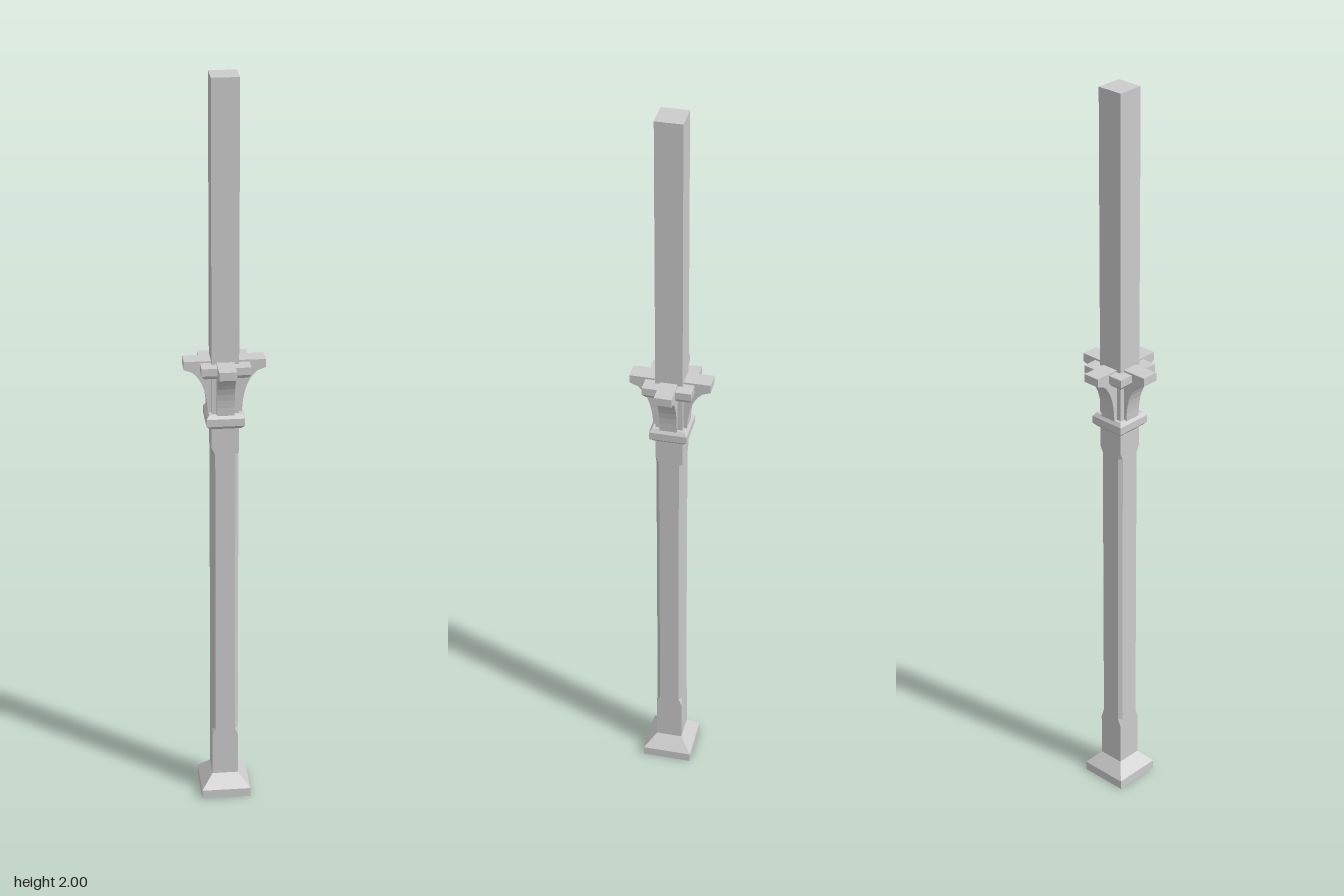
import * as THREE from 'three';

const material = new THREE.MeshStandardMaterial({ color: 0xcccccc, flatShading: true });

// Square section with cut corners, counter-clockwise seen from above
function ring([y, h, c = 0]) {
  const k = h - c;
  return [[h, k], [h, -k], [k, -h], [-k, -h], [-h, -k], [-h, k], [-k, h], [k, h]]
    .map(([x, z]) => new THREE.Vector3(x, y, z));
}

// Stack of square sections [height, half width, corner cut], capped at both ends
function squareLoft(name, sections) {
  const rings = sections.map(ring);
  const points = [];
  for (let i = 0; i < rings.length - 1; i++) {
    const a = rings[i], b = rings[i + 1];
    for (let j = 0; j < 8; j++) {
      const n = (j + 1) % 8;
      points.push(a[j], a[n], b[n], a[j], b[n], b[j]);
    }
  }
  const bottom = rings[0], top = rings[rings.length - 1];
  for (let j = 1; j < 7; j++) {
    points.push(top[0], top[j], top[j + 1], bottom[0], bottom[j + 1], bottom[j]);
  }
  const geometry = new THREE.BufferGeometry().setFromPoints(points);
  geometry.computeVertexNormals();
  const mesh = new THREE.Mesh(geometry, material);
  mesh.name = name;
  return mesh;
}

// Curved bracket: side profile extruded across its width, reaching out along +x
function bracketGeometry(width) {
  const shape = new THREE.Shape();
  shape.moveTo(0.02, 1.115);
  shape.lineTo(0.043, 1.115);
  shape.lineTo(0.045, 1.15);
  shape.quadraticCurveTo(0.051, 1.215, 0.083, 1.24);
  shape.lineTo(0.104, 1.248);
  shape.lineTo(0.104, 1.27);
  shape.lineTo(0.02, 1.27);
  shape.closePath();
  const geometry = new THREE.ExtrudeGeometry(shape, { depth: width, bevelEnabled: false, curveSegments: 6 });
  return geometry.translate(0, 0, -width / 2);
}

export function createModel() {
  const model = new THREE.Group();
  model.name = 'column';

  // Post with chamfered corners along its lower length
  model.add(squareLoft('post', [
    [0, 0.035], [0.18, 0.035], [0.2, 0.035, 0.009],
    [1.015, 0.035, 0.009], [1.035, 0.035], [2, 0.035],
  ]));

  // Plinth with sloping top
  model.add(squareLoft('base', [[0, 0.066], [0.025, 0.066], [0.06, 0.035]]));

  // Moulded band under the capital
  model.add(squareLoft('collar', [
    [1.09, 0.039], [1.1, 0.049], [1.12, 0.049], [1.13, 0.042],
  ]));

  // Slab that ties the brackets together
  model.add(squareLoft('capitalSlab', [
    [1.235, 0.056], [1.245, 0.063], [1.265, 0.063],
  ]));

  // Four brackets, one on each face
  const brackets = new THREE.Group();
  brackets.name = 'brackets';
  const geometry = bracketGeometry(0.045);
  for (let i = 0; i < 4; i++) {
    const bracket = new THREE.Mesh(geometry, material);
    bracket.name = 'bracket';
    bracket.rotation.y = i * Math.PI / 2;
    brackets.add(bracket);
  }
  model.add(brackets);

  return model;
}
